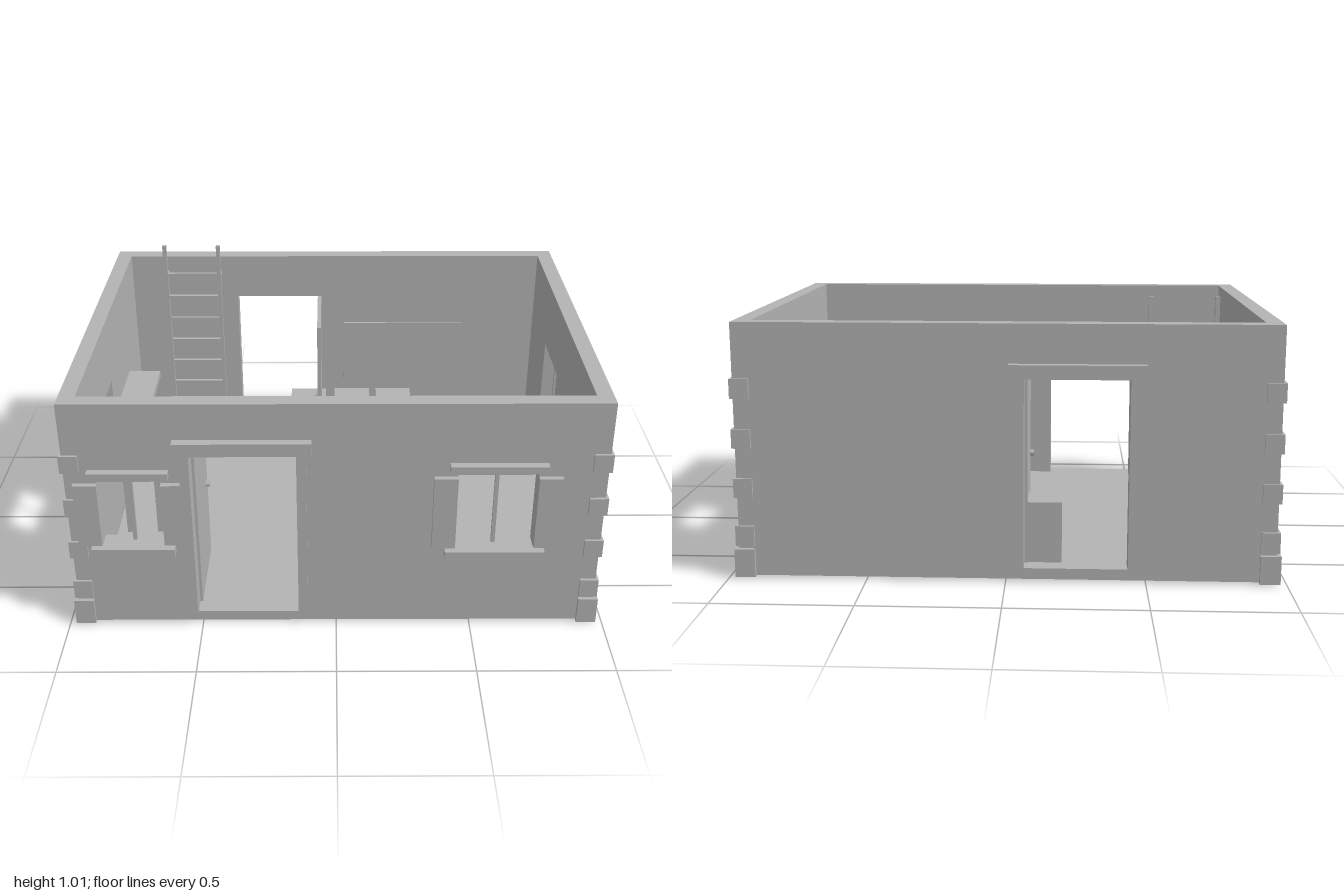
import * as THREE from 'three';

const stone = new THREE.MeshStandardMaterial({ color: 0xb3b3b3 });
stone.name = 'plainGrey';

// Outer wall limits
const X = 0.96, ZF = 0.717, ZB = -0.733, T = 0.06, Y0 = 0.05, TOP = 0.93;

// Box given by its limits on each axis
function box(parent, name, x0, x1, y0, y1, z0, z1) {
  const m = new THREE.Mesh(new THREE.BoxGeometry(x1 - x0, y1 - y0, z1 - z0), stone);
  m.position.set((x0 + x1) / 2, (y0 + y1) / 2, (z0 + z1) / 2);
  m.name = name;
  parent.add(m);
  return m;
}

// Wall in its own frame: u along the wall, outer face at z = 0, thickness towards -z
function wall(name, u0, u1, holes) {
  const rect = (P, a, b, c, d) => {
    const p = new P();
    p.moveTo(a, c); p.lineTo(b, c); p.lineTo(b, d); p.lineTo(a, d); p.closePath();
    return p;
  };
  const s = rect(THREE.Shape, u0, u1, Y0, TOP);
  for (const h of holes) s.holes.push(rect(THREE.Path, ...h));
  const g = new THREE.Group();
  g.name = name;
  const geo = new THREE.ExtrudeGeometry(s, { depth: T, bevelEnabled: false });
  const m = new THREE.Mesh(geo.translate(0, 0, -T), stone);
  m.name = name + 'Panel';
  g.add(m);
  return g;
}

// Window with lintel, sill, two open shutters and a central bar
function windowSet(parent, u0, u1, y0, y1, shutterLeft = 0.085, shutterRight = 0.085) {
  const g = new THREE.Group();
  g.name = 'window';
  parent.add(g);
  const c = (u0 + u1) / 2;
  box(g, 'windowLintel', u0 - 0.03, u1 + 0.03, y1 + 0.01, y1 + 0.04, -0.01, 0.03);
  box(g, 'windowSill', u0 - 0.038, u1 + 0.038, y0 - 0.033, y0, -T, 0.04);
  box(g, 'windowBar', c - 0.007, c + 0.007, y0, y1, -0.04, -0.026);
  box(g, 'shutter', u0 - shutterLeft, u0, y0 + 0.005, y1 - 0.015, 0, 0.02);
  box(g, 'shutter', u1, u1 + shutterRight, y0 + 0.005, y1 - 0.015, 0, 0.02);
}

// Door frame around an opening
function doorFrame(parent, u0, u1) {
  const g = new THREE.Group();
  g.name = 'doorFrame';
  parent.add(g);
  box(g, 'doorPost', u0 - 0.035, u0, Y0, 0.74, -T, 0.018);
  box(g, 'doorPost', u1, u1 + 0.035, Y0, 0.74, -T, 0.018);
  box(g, 'doorLintel', u0 - 0.055, u1 + 0.055, 0.74, 0.79, -0.02, 0.032);
}

// Open door leaf with a round knob
function doorLeaf(parent, x, z0, z1, knobZ, side) {
  box(parent, 'doorLeaf', x - 0.008, x + 0.008, Y0, 0.74, z0, z1);
  const k = new THREE.Mesh(new THREE.CylinderGeometry(0.012, 0.012, 0.016, 10), stone);
  k.rotation.z = Math.PI / 2;
  k.position.set(x + side * 0.015, 0.39, knobZ);
  k.name = 'doorKnob';
  parent.add(k);
}

export function createModel() {
  const house = new THREE.Group();
  house.name = 'cottage';

  // Floor and foundation
  box(house, 'foundation', -0.93, 0.93, 0, 0.02, -0.70, 0.69);
  box(house, 'floor', -X, X, 0.01, Y0, ZB, ZF);

  // Front wall
  const front = wall('frontWall', -X, X, [
    [-0.515, -0.14, Y0, 0.74], [-0.845, -0.62, 0.357, 0.63], [0.43, 0.715, 0.342, 0.655]]);
  front.position.z = ZF;
  windowSet(front, -0.845, -0.62, 0.357, 0.63, 0.085, 0.07);
  windowSet(front, 0.43, 0.715, 0.342, 0.655);
  doorFrame(front, -0.515, -0.14);

  // Back wall, turned round so u = -x
  const back = wall('backWall', -X, X, [[0.065, 0.435, Y0, 0.74]]);
  back.position.z = ZB;
  back.rotation.y = Math.PI;
  doorFrame(back, 0.065, 0.435);

  // Side walls: u = -z on the +x side, u = z on the -x side
  const left = wall('leftWall', -ZF + T, -ZB - T, [[0.03, 0.32, 0.373, 0.665]]);
  left.position.x = X;
  left.rotation.y = Math.PI / 2;
  windowSet(left, 0.03, 0.32, 0.373, 0.665);
  const right = wall('rightWall', ZB + T, ZF - T, [[0.018, 0.308, 0.373, 0.665]]);
  right.position.x = -X;
  right.rotation.y = -Math.PI / 2;
  windowSet(right, 0.018, 0.308, 0.373, 0.665);
  house.add(front, back, left, right);

  // Corner stones
  const rows = [[0.12, 0.195], [0.3, 0.37], [0.48, 0.55], [0.66, 0.73]];
  for (const sx of [-1, 1]) for (const sz of [-1, 1]) {
    const stoneAt = (y0, y1, out) => {
      const xs = [sx * (X + out), sx * 0.902].sort((a, b) => a - b);
      const zs = (sz > 0 ? [0.659, ZF + out] : [ZB - out, -0.675]);
      box(house, 'cornerStone', xs[0], xs[1], y0, y1, zs[0], zs[1]);
    };
    stoneAt(0.006, 0.11, 0.015);
    for (const [a, b] of rows) stoneAt(a, b, 0.01);
  }

  // Open doors
  doorLeaf(house, -0.513, 0.305, 0.657, 0.36, 1);
  doorLeaf(house, -0.068, -0.673, -0.322, -0.38, -1);

  // Ladder by the back wall
  const ladder = new THREE.Group();
  ladder.name = 'ladder';
  house.add(ladder);
  for (const x of [-0.74, -0.508]) {
    box(ladder, 'ladderRail', x - 0.008, x + 0.008, Y0, 1.01, -0.604, -0.584);
    box(ladder, 'ladderHook', x - 0.008, x + 0.008, 0.86, 0.876, -0.64, -0.6);
  }
  for (let i = 0; i < 8; i++) {
    const y = 0.14 + i * 0.105;
    box(ladder, 'ladderRung', -0.735, -0.513, y - 0.007, y + 0.007, -0.602, -0.588);
  }

  // Shelf, bench and cups along the side wall
  box(house, 'shelf', -0.9, -0.765, 0.482, 0.51, -0.38, 0.09);
  const bench = new THREE.Group();
  bench.name = 'bench';
  house.add(bench);
  box(bench, 'benchTop', -0.87, -0.7, 0.3, 0.33, -0.355, 0.2);
  for (const x of [-0.86, -0.735]) for (const z of [-0.345, 0.165])
    box(bench, 'benchLeg', x, x + 0.025, Y0, 0.3, z, z + 0.025);
  for (const z of [-0.14, -0.28]) {
    const cup = new THREE.Mesh(new THREE.CylinderGeometry(0.019, 0.025, 0.08, 10), stone);
    cup.position.set(-0.818, 0.37, z);
    cup.name = 'cup';
    house.add(cup);
  }

  // Storage boxes and back panel
  for (const x of [-0.2, 0, 0.19])
    box(house, 'storageBox', x, x + 0.16, Y0, 0.275, -0.665, -0.535);
  box(house, 'backPanel', 0.04, 0.58, Y0, 0.61, -0.674, -0.666);

  return house;
}
